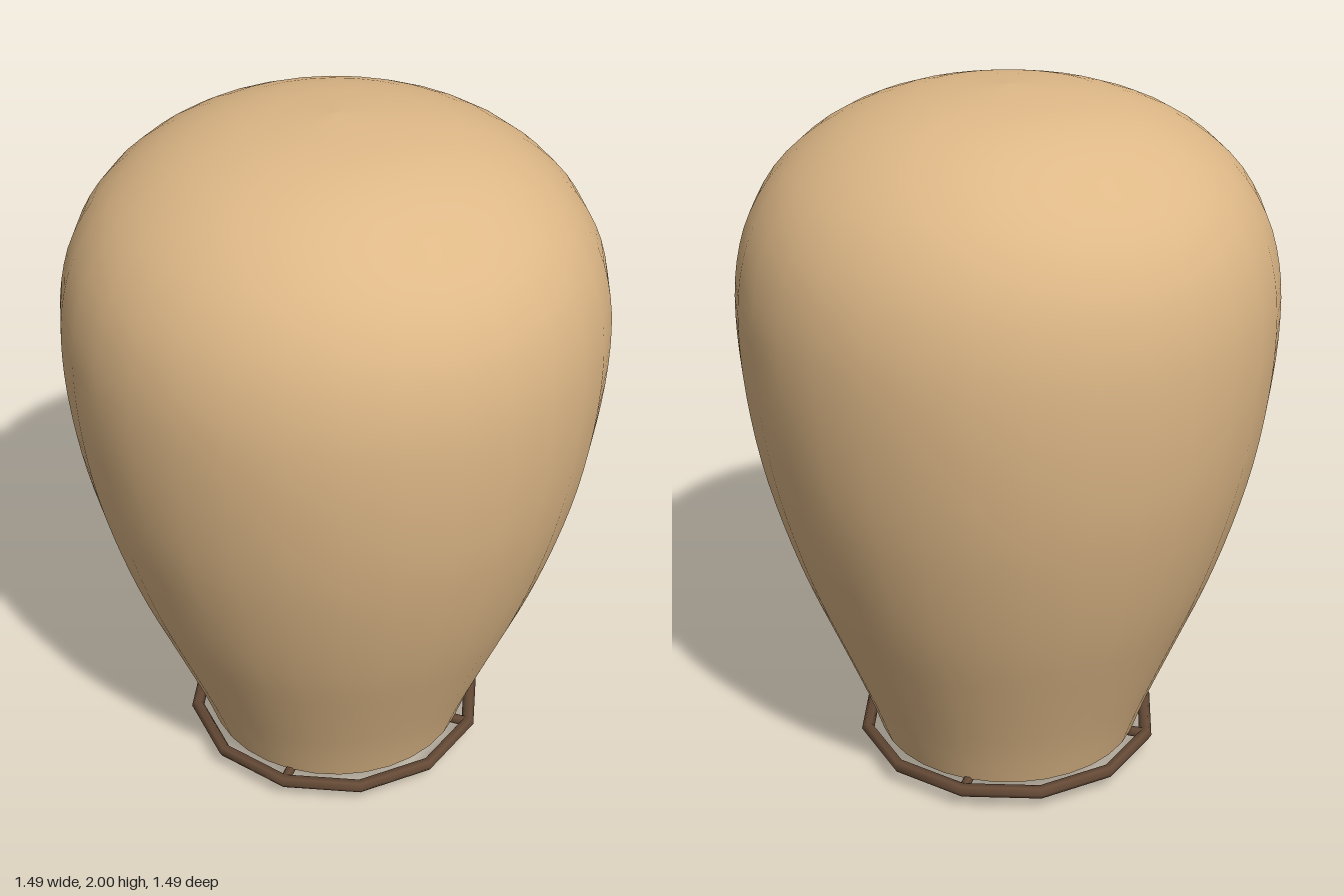
import * as THREE from 'three';

export function createModel() {
  const group = new THREE.Group();
  const shadeMat = new THREE.MeshStandardMaterial({ name: 'tan shade', color: 0xdeb887, side: THREE.DoubleSide });
  const frameMat = new THREE.MeshStandardMaterial({ name: 'brown frame', color: 0x654a36 });
  const bulbMat = new THREE.MeshStandardMaterial({ name: 'cream bulb', color: 0xf0deaa });

  const add = (name, geometry, material) => {
    const mesh = new THREE.Mesh(geometry, material);
    mesh.name = name;
    group.add(mesh);
    return mesh;
  };

  // Domed shade, open at the bottom
  const profile = new THREE.SplineCurve([
    [0.385, 0.07], [0.43, 0.2], [0.51, 0.4], [0.59, 0.6], [0.655, 0.8],
    [0.705, 1.0], [0.735, 1.2], [0.745, 1.38], [0.733, 1.53], [0.69, 1.67],
    [0.6, 1.8], [0.45, 1.91], [0.25, 1.977], [0, 2.0],
  ].map(([r, y]) => new THREE.Vector2(r, y))).getPoints(39);
  profile[profile.length - 1].x = 0;
  add('shade', new THREE.LatheGeometry(profile, 32), shadeMat);

  // Twelve-sided rim ring
  const ring = new THREE.TorusGeometry(0.43, 0.019, 6, 12).rotateX(Math.PI / 2);
  add('rimRing', ring, frameMat).position.y = 0.062;

  // Four spokes running from the rim into the bulb
  for (let i = 0; i < 4; i++) {
    const spoke = new THREE.CylinderGeometry(0.015, 0.015, 0.36, 6)
      .rotateZ(Math.PI / 2).translate(0.25, 0.065, 0).rotateY(i * Math.PI / 2);
    add('spoke' + (i + 1), spoke, frameMat);
  }

  // Elongated bulb
  const bulb = new THREE.SphereGeometry(1, 16, 12).scale(0.12, 0.27, 0.12);
  add('bulb', bulb, bulbMat).position.y = 0.27;

  return group;
}
